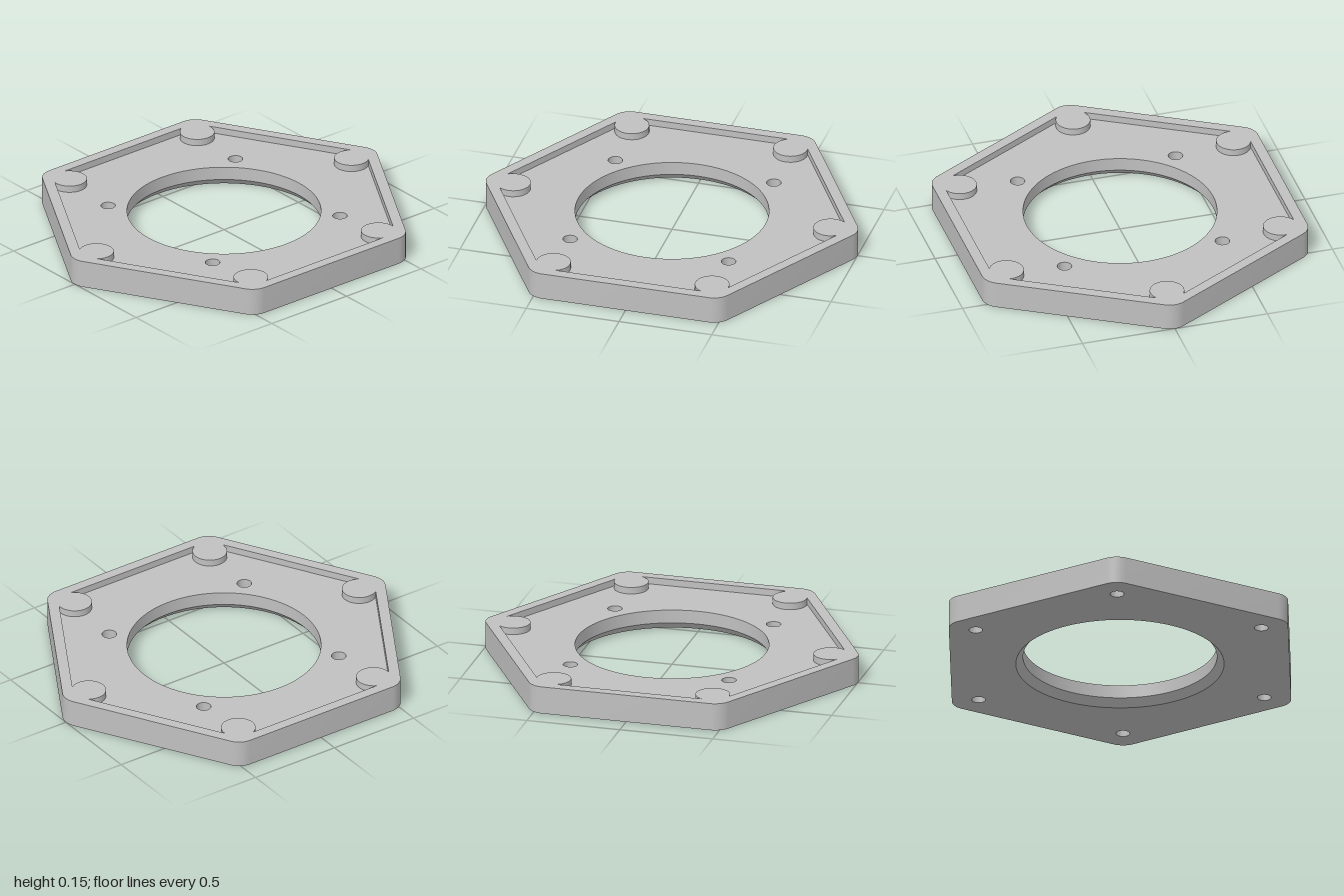
import * as THREE from 'three';
import { toCreasedNormals } from 'three/addons/utils/BufferGeometryUtils.js';

const TOP = 0.147, FLOOR = 0.111, CHAMFER = 0.04;
const DEG = Math.PI / 180;

// Points along an arc, angles in degrees
function arc(cx, cy, r, a0, a1, n) {
  return Array.from({ length: n + 1 }, (_, i) => {
    const a = (a0 + (a1 - a0) * i / n) * DEG;
    return new THREE.Vector2(cx + r * Math.cos(a), cy + r * Math.sin(a));
  });
}
const circle = (x, y, r, n = 32) => arc(x, y, r, 0, 360, n).slice(0, -1);

// One arc at each of the six corners, joined into a loop
function cornerLoop(dist, r, a0, a1, n) {
  const pts = [];
  for (let k = 0; k < 6; k++) {
    const t = k * 60;
    pts.push(...arc(dist * Math.cos(t * DEG), dist * Math.sin(t * DEG), r, t + a0, t + a1, n));
  }
  return pts;
}

// Flat face with holes, facing up or down
function face(outline, holes, y, up = true) {
  const shape = new THREE.Shape(outline);
  shape.holes = holes.map(h => new THREE.Path(h));
  const g = new THREE.ShapeGeometry(shape);
  g.rotateX(up ? -Math.PI / 2 : Math.PI / 2);
  return g.translate(0, y, 0);
}

// Wall between two matching loops; faces outward, or inward for holes
function wall(low, y0, high, y1, inward = false) {
  const v = [];
  const n = low.length;
  for (let i = 0; i < n; i++) {
    const j = (i + 1) % n;
    const a = [low[i].x, y0, -low[i].y], b = [low[j].x, y0, -low[j].y];
    const c = [high[j].x, y1, -high[j].y], d = [high[i].x, y1, -high[i].y];
    const quad = inward ? [a, c, b, a, d, c] : [a, b, c, a, c, d];
    quad.forEach(p => v.push(...p));
  }
  const g = new THREE.BufferGeometry();
  g.setAttribute('position', new THREE.Float32BufferAttribute(v, 3));
  return toCreasedNormals(g, 0.5);
}

export function createModel() {
  const group = new THREE.Group();
  const grey = new THREE.MeshStandardMaterial({ color: 0xc0c0c0 });
  grey.name = 'light grey';
  const add = (name, geometry) => {
    const m = new THREE.Mesh(geometry, grey);
    m.name = name;
    group.add(m);
  };

  // Rounded hexagon, and the pocket that runs around the corner bosses
  const outer = cornerLoop(0.9, 0.1, -30, 30, 8);
  const bossDist = 0.855, bossR = 0.09, pocketApothem = 0.823;
  const beta = Math.acos((pocketApothem - bossDist * Math.cos(30 * DEG)) / bossR) / DEG;
  const pocket = cornerLoop(bossDist, bossR, -30 - beta, -330 + beta, 28);

  // Central opening and blind holes
  const bore = circle(0, 0, 0.503, 96), boreWide = circle(0, 0, 0.54, 96);
  const pinHoles = [[1, 1], [-1, 1], [-1, -1], [1, -1]].map(([x, y]) => circle(x * 0.427, y * 0.427, 0.038));
  const screwHoles = Array.from({ length: 6 }, (_, k) =>
    circle(bossDist * Math.cos(k * 60 * DEG), bossDist * Math.sin(k * 60 * DEG), 0.036));

  add('outerWall', wall(outer, 0, outer, TOP));
  add('rimAndBossTops', face(outer, [pocket], TOP));
  add('pocketWall', wall(pocket, FLOOR, pocket, TOP, true));
  add('pocketFloor', face(pocket, [bore, ...pinHoles], FLOOR));
  add('boreWall', wall(bore, CHAMFER, bore, FLOOR, true));
  add('boreChamfer', wall(boreWide, 0, bore, CHAMFER, true));
  add('underside', face(outer, [boreWide, ...screwHoles], 0, false));

  // Blind holes in the pocket floor
  for (const h of pinHoles) {
    add('pinHoleWall', wall(h, 0.04, h, FLOOR, true));
    add('pinHoleBottom', face(h, [], 0.04));
  }
  // Blind screw holes under the bosses
  for (const h of screwHoles) {
    add('screwHoleWall', wall(h, 0, h, 0.1, true));
    add('screwHoleEnd', face(h, [], 0.1, false));
  }
  return group;
}
